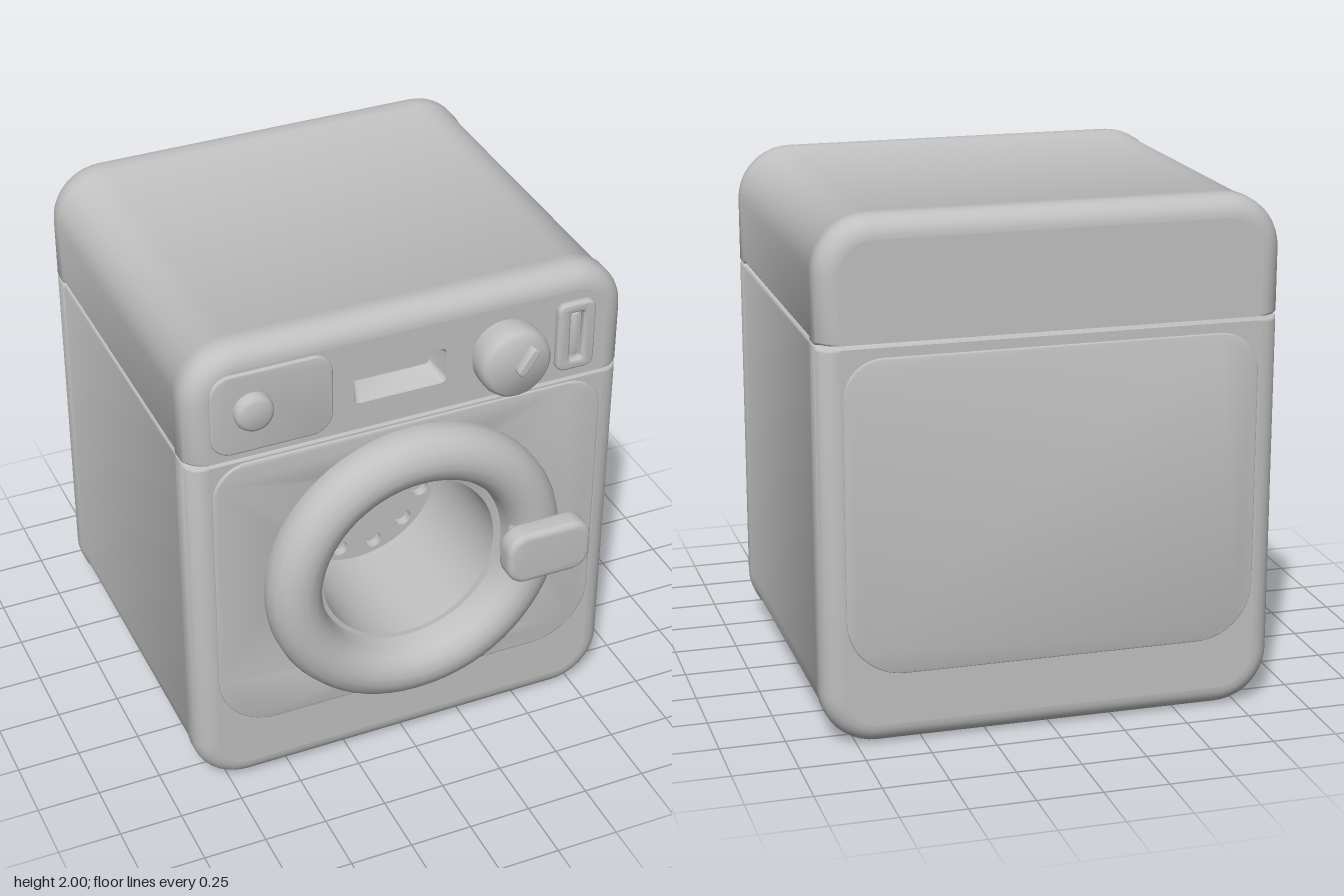
import * as THREE from 'three';
import { toCreasedNormals } from 'three/addons/utils/BufferGeometryUtils.js';

// Counter-clockwise rounded rectangle with separate bottom and top corner radii
function roundRect(x0, y0, x1, y1, rb, rt = rb, n = 10) {
  const corners = [
    [x1 - rb, y0 + rb, rb, -0.5], [x1 - rt, y1 - rt, rt, 0],
    [x0 + rt, y1 - rt, rt, 0.5], [x0 + rb, y0 + rb, rb, 1],
  ];
  const pts = [];
  for (const [cx, cy, r, a0] of corners) {
    for (let i = 0; i <= n; i++) {
      const a = (a0 + 0.5 * i / n) * Math.PI;
      pts.push(new THREE.Vector2(cx + r * Math.cos(a), cy + r * Math.sin(a)));
    }
  }
  return pts;
}

// Skin joining equal-length outlines placed along z
function loft(sections) {
  const n = sections[0].pts.length, pos = [], idx = [];
  for (const s of sections) for (const p of s.pts) pos.push(p.x, p.y, s.z);
  for (let k = 0; k < sections.length - 1; k++) {
    for (let i = 0; i < n; i++) {
      const a = k * n + i, b = k * n + (i + 1) % n;
      idx.push(a, b, b + n, a, b + n, a + n);
    }
  }
  const g = new THREE.BufferGeometry();
  g.setAttribute('position', new THREE.Float32BufferAttribute(pos, 3));
  g.setIndex(idx);
  g.computeVertexNormals();
  return toCreasedNormals(g, 0.7);
}

function circlePath(x, y, r) {
  return new THREE.Path().absarc(x, y, r, 0, Math.PI * 2, true);
}

export function createModel() {
  const model = new THREE.Group();
  const grey = new THREE.MeshStandardMaterial({ color: 0xc0c0c0 });
  const add = (name, geo, parent = model) => {
    const m = new THREE.Mesh(geo, grey);
    m.name = name;
    parent.add(m);
    return m;
  };

  // Bevelled plate between z0 and z1
  const plate = (name, pts, z0, z1, bevel, holes = []) => {
    const shape = new THREE.Shape(pts);
    shape.holes.push(...holes);
    const g = new THREE.ExtrudeGeometry(shape, {
      depth: z1 - z0 - 2 * bevel, bevelEnabled: true, bevelSize: bevel,
      bevelThickness: bevel, bevelOffset: -bevel, bevelSegments: 5, curveSegments: 32,
    });
    g.translate(0, 0, z0 + bevel);
    return add(name, toCreasedNormals(g, 0.6));
  };

  // Profile turned about the z axis
  const turned = (name, pts, x, y) => {
    const g = new THREE.LatheGeometry(pts.map(p => new THREE.Vector2(...p)), 64);
    g.rotateX(Math.PI / 2);
    g.translate(x, y, 0);
    return add(name, toCreasedNormals(g, 0.75));
  };

  // Cabinet: lower housing and top section, split by a fine seam
  const zBack = -0.885, zFront = 0.645, bevel = 0.08;
  const profile = [];
  for (let i = 0; i <= 8; i++) {
    const a = i / 8 * Math.PI / 2;
    profile.push([zBack + bevel * (1 - Math.cos(a)), bevel * (1 - Math.sin(a))]);
  }
  profile.push([-0.76, 0], [-0.75, 0.006], [0.51, 0.006], [0.52, 0]);
  for (let i = 8; i >= 0; i--) {
    const a = i / 8 * Math.PI / 2;
    profile.push([zFront - bevel * (1 - Math.cos(a)), bevel * (1 - Math.sin(a))]);
  }
  const seam = 1.535;
  const housing = (name, isTop, holes) => {
    const group = new THREE.Group();
    group.name = name;
    const outline = inset => {
      const s = Math.min(inset, 0.008);
      return isTop
        ? roundRect(-0.88 + inset, seam + s, 0.88 - inset, 2 - inset, 0.012, 0.21 - inset)
        : roundRect(-0.88 + inset, inset, 0.88 - inset, seam - s, 0.21 - inset, 0.012);
    };
    add(name + 'Shell', loft(profile.map(([z, i]) => ({ z, pts: outline(i) }))), group);
    const front = new THREE.Shape(outline(bevel));
    front.holes.push(...holes);
    add(name + 'Front', new THREE.ShapeGeometry(front, 32).translate(0, 0, zFront), group);
    const back = new THREE.ShapeGeometry(new THREE.Shape(outline(bevel)));
    add(name + 'Back', back.rotateY(Math.PI).translate(0, 0, zBack), group);
    model.add(group);
  };
  const pocketOuter = roundRect(-0.23, 1.655, 0.14, 1.805, 0.025);
  const pocketInner = roundRect(-0.2, 1.695, 0.11, 1.79, 0.02);
  housing('lowerHousing', false, [circlePath(0, 0.9, 0.46)]);
  housing('topSection', true, [new THREE.Path(pocketOuter)]);

  // Sunken grip pocket in the control strip
  add('pocketWalls', loft([{ z: zFront, pts: pocketOuter }, { z: 0.56, pts: pocketInner }]));
  add('pocketFloor', new THREE.ShapeGeometry(new THREE.Shape(pocketInner)).translate(0, 0, 0.56));

  // Front and back panels
  plate('frontPanel', roundRect(-0.79, 0.28, 0.79, 1.52, 0.24, 0.14), 0.635, 0.655, 0.008,
    [circlePath(0, 0.9, 0.46)]);
  plate('backPanel', roundRect(-0.79, 0.28, 0.79, 1.49, 0.22, 0.15), -0.893, -0.875, 0.007);

  // Door ring and drum
  turned('doorRing', [[0.595, 0.63], [0.605, 0.67], [0.605, 0.71], [0.59, 0.75], [0.56, 0.78],
    [0.52, 0.797], [0.48, 0.8], [0.44, 0.787], [0.41, 0.76], [0.392, 0.72], [0.385, 0.66]], 0, 0.9);
  turned('drumWall', [[0.4, 0.66], [0.36, 0.65], [0.36, 0.63], [0.355, 0.15]], 0, 0.885);

  // Drum back with a ring of holes, left open at the top
  const drumBack = new THREE.Shape().absarc(0, 0.885, 0.356, 0, Math.PI * 2, false);
  const holeRadius = 0.036;
  for (let k = 0; k < 10; k++) {
    const a = (-225 + 30 * k) * Math.PI / 180;
    const x = 0.288 * Math.cos(a), y = 0.868 + 0.28 * Math.sin(a);
    drumBack.holes.push(circlePath(x, y, holeRadius));
    turned('drumHole', [[holeRadius, 0.15], [holeRadius, 0.11], [0, 0.11]], x, y);
  }
  add('drumBack', new THREE.ShapeGeometry(drumBack, 24).translate(0, 0, 0.15));

  // Door handle
  plate('doorHandle', roundRect(0.31, 0.81, 0.66, 1.035, 0.08), 0.79, 0.89, 0.025);
  plate('handleMount', roundRect(0.38, 0.84, 0.57, 1.0, 0.05), 0.72, 0.8, 0.01);

  // Soap drawer with its round knob
  plate('soapDrawer', roundRect(-0.79, 1.57, -0.315, 1.91, 0.08), 0.635, 0.657, 0.01);
  turned('drawerKnob', [[0.075, 0.64], [0.075, 0.68], [0.068, 0.694], [0.055, 0.7], [0, 0.702]],
    -0.63, 1.75);

  // Programme dial with a slanted pointer
  turned('dial', [[0.125, 0.64], [0.125, 0.665], [0.14, 0.675], [0.142, 0.7], [0.142, 0.74],
    [0.135, 0.762], [0.12, 0.775], [0, 0.777]], 0.37, 1.74);
  const pointer = plate('dialPointer', roundRect(-0.018, -0.06, 0.018, 0.06, 0.017), 0.76, 0.812, 0.008);
  pointer.position.set(0.395, 1.768, 0);
  pointer.rotation.z = -0.6;

  // Slide switch frame with a bar in its slot
  plate('switchFrame', roundRect(0.585, 1.59, 0.74, 1.88, 0.035), 0.635, 0.672, 0.012,
    [new THREE.Path(roundRect(0.636, 1.632, 0.689, 1.838, 0.012))]);
  plate('switchBar', roundRect(0.645, 1.645, 0.68, 1.825, 0.01), 0.635, 0.654, 0.005);

  return model;
}
